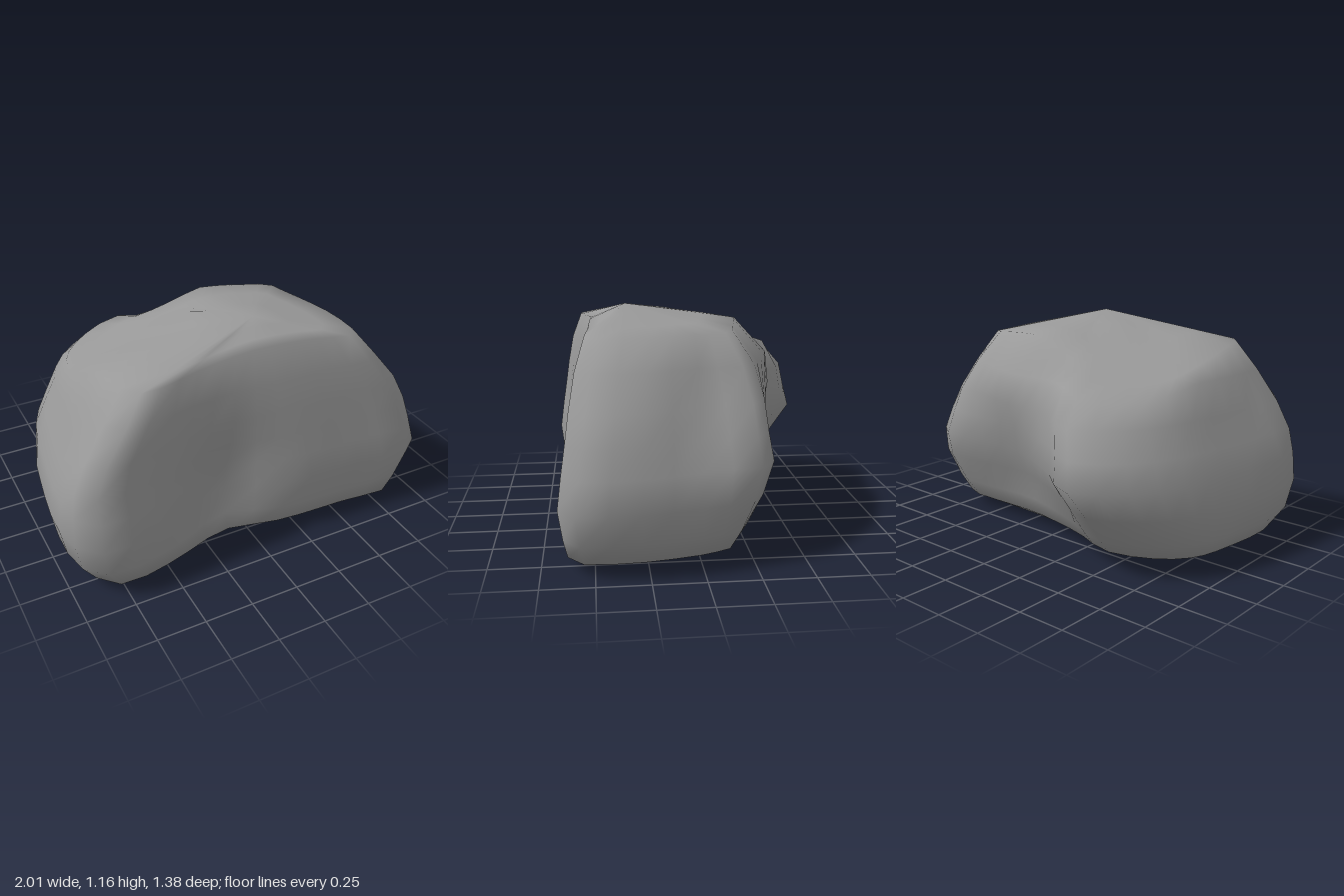
import * as THREE from 'three';

// Plan outline at the widest height, as x, z pairs (clockwise from above)
const OUTLINE = [
  [-1, 0.3], [-0.97, 0.08], [-0.91, -0.26], [-0.77, -0.52], [-0.51, -0.69], [-0.2, -0.52],
  [0.1, -0.46], [0.4, -0.4], [0.65, -0.36], [0.82, -0.33], [0.92, -0.03], [1, 0.36], [0.96, 0.64],
  [0.6, 0.64], [0.25, 0.63], [-0.1, 0.62], [-0.42, 0.64], [-0.87, 0.69], [-0.98, 0.57],
];

// Height, then extents of the outline: left, right, back, front
const LAYERS = [
  [0.005, 0.83, 0.78, 0.19, 0.53],
  [0.06, 0.9, 0.89, 0.34, 0.65],
  [0.16, 0.97, 0.94, 0.45, 0.67],
  [0.32, 1.0, 1.0, 0.58, 0.69],
  [0.47, 0.97, 0.96, 0.69, 0.67],
  [0.6, 0.91, 0.92, 0.65, 0.65],
  [0.74, 0.84, 0.85, 0.61, 0.63],
  [0.9, 0.77, 0.72, 0.5, 0.6],
  [1.035, 0.68, 0.6, 0.33, 0.55],
];
const SIDES = 40;
const TOP = new THREE.Vector3(0.1, 1.16, 0.32);
const BOTTOM = new THREE.Vector3(0, 0, 0.17);

const bump = (d, width) => Math.exp(-(d * d) / (width * width));

function ringPoint(p, [y, left, right, back, front]) {
  let x = p.x * (p.x < 0 ? left : right);
  let z = (p.z / 0.69) * (p.z < 0 ? back : front);
  // Front valley leaning between the two lobes
  if (p.z > 0.3) z -= 0.13 * bump(x + 0.15 + 0.1 * y, 0.2) * bump(y - 0.33, 0.32);
  if (p.z < -0.2) {
    // Hollow on the back beside the rear hump, full shoulder above it
    z += 0.11 * bump(x - 0.18, 0.28) * bump(y - 0.36, 0.3);
    z -= 0.1 * bump(x - 0.15, 0.35) * bump(y - 0.87, 0.17);
  }
  // Upper dent on the +x end
  if (p.x > 0.5) x -= 0.09 * bump(z + 0.05, 0.22) * bump(y - 0.75, 0.25);
  // Full front corner on the -x end
  if (p.x < -0.6) x -= 0.09 * bump(z - 0.63, 0.17) * bump(y - 0.68, 0.2);
  // Underside rises toward both ends, the crown toward the middle
  if (y < 0.05) y += 0.05 * x * x;
  if (y > 1.02) y += 0.045 * bump(x - 0.1, 0.4);
  return new THREE.Vector3(x, y, z);
}

function boulderGeometry() {
  const curve = new THREE.CatmullRomCurve3(
    OUTLINE.map(([x, z]) => new THREE.Vector3(x, 0, z)), true, 'centripetal');
  const plan = curve.getSpacedPoints(SIDES).slice(0, SIDES);
  const rings = LAYERS.map((layer) => plan.map((p) => ringPoint(p, layer)));

  // Shrinking rings carry the top and underside toward their poles
  const last = rings[rings.length - 1];
  const first = rings[0];
  for (const t of [0.3, 0.65]) rings.push(last.map((p) => p.clone().lerp(TOP, t)));
  rings.unshift(first.map((p) => p.clone().lerp(BOTTOM, 0.5)));

  const points = [...rings.flat(), TOP, BOTTOM];
  // Crown slopes down toward the rear hump
  for (const p of points) p.y = Math.min(p.y, 1.13 + 0.3 * (p.x + p.z));

  const topIndex = points.length - 2;
  const bottomIndex = points.length - 1;
  const index = [];
  for (let i = 0; i < SIDES; i++) {
    const j = (i + 1) % SIDES;
    for (let r = 0; r < rings.length - 1; r++) {
      const a = r * SIDES;
      const b = a + SIDES;
      index.push(a + j, a + i, b + i, a + j, b + i, b + j);
    }
    const end = (rings.length - 1) * SIDES;
    index.push(end + j, end + i, topIndex, i, j, bottomIndex);
  }
  const geometry = new THREE.BufferGeometry().setFromPoints(points);
  geometry.setIndex(index);
  geometry.computeVertexNormals();
  return geometry;
}

export function createModel() {
  const group = new THREE.Group();
  group.name = 'rock';
  const boulder = new THREE.Mesh(
    boulderGeometry(), new THREE.MeshStandardMaterial({ color: 0x999999 }));
  boulder.name = 'boulder';
  group.add(boulder);
  return group;
}
